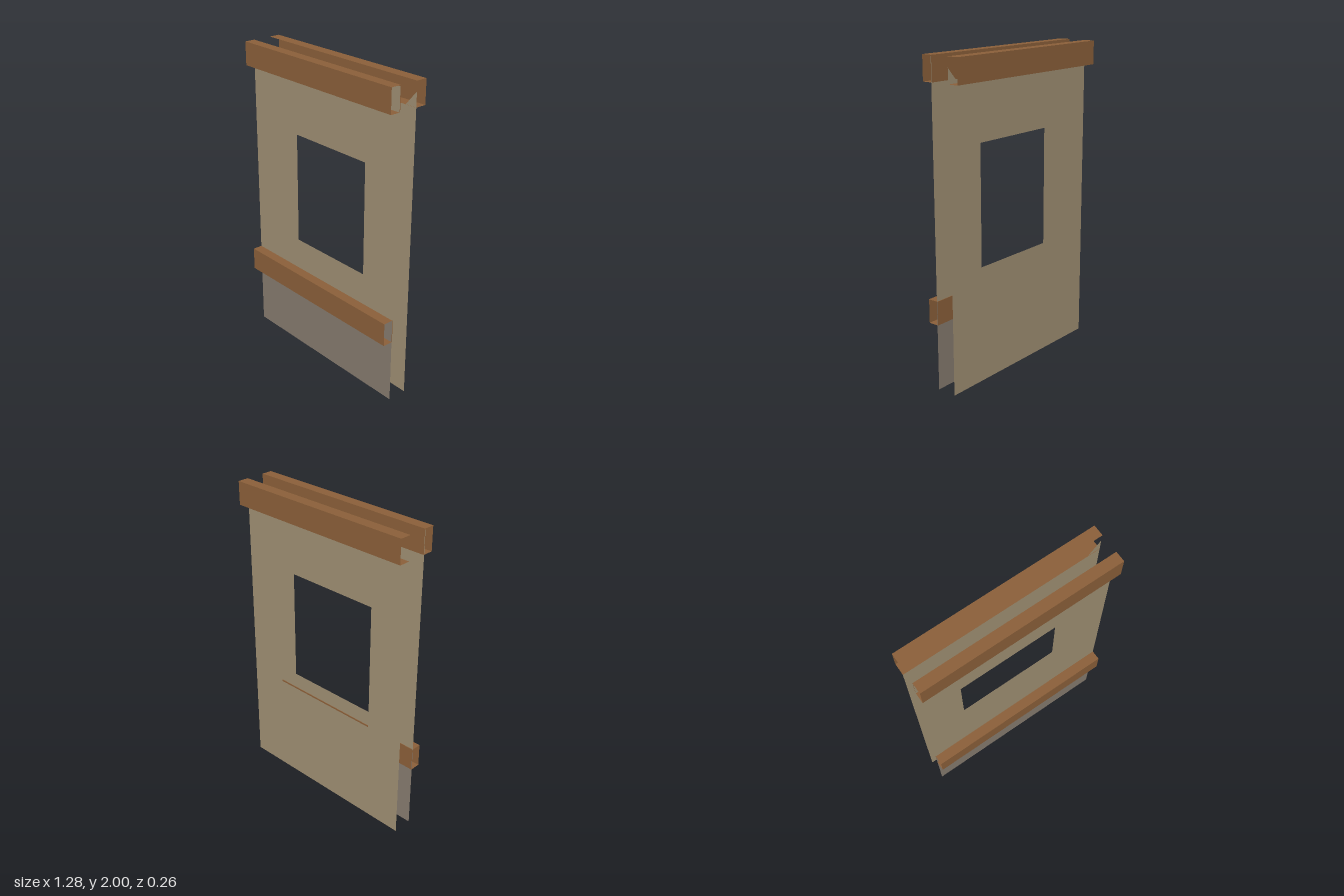
import * as THREE from 'three';

const mat = (name, color) => {
  const m = new THREE.MeshStandardMaterial({ color, side: THREE.DoubleSide });
  m.name = name;
  return m;
};

export function createModel() {
  const plaster = mat('plaster', 0x9e8e72);
  const wood = mat('wood', 0x8a5f39);
  const stone = mat('stone', 0x857a6e);
  const group = new THREE.Group();
  const W = 0.64;

  const add = (name, geo, material, z = 0) => {
    const mesh = new THREE.Mesh(geo, material);
    mesh.name = name;
    mesh.position.z = z;
    group.add(mesh);
  };

  // Thin wall sheet from an outline, with the window opening cut out
  const sheet = (points, hasWindow) => {
    const shape = new THREE.Shape(points.map(([x, y]) => new THREE.Vector2(x, y)));
    if (hasWindow) {
      const hole = [[-0.385, 0.67], [-0.385, 1.49], [0.383, 1.49], [0.383, 0.67]];
      shape.holes.push(new THREE.Path(hole.map(([x, y]) => new THREE.Vector2(x, y))));
    }
    return new THREE.ShapeGeometry(shape);
  };
  const rect = (y0, y1) => [[-W, y0], [W, y0], [W, y1], [-W, y1]];

  // Open-ended beam: a folded strip following a (z, y) profile along x
  const beam = (name, profile) => {
    const pos = [];
    for (let i = 0; i < profile.length - 1; i++) {
      const [z0, y0] = profile[i], [z1, y1] = profile[i + 1];
      pos.push(-W, y0, z0, W, y0, z0, W, y1, z1, -W, y0, z0, W, y1, z1, -W, y1, z1);
    }
    const geo = new THREE.BufferGeometry();
    geo.setAttribute('position', new THREE.Float32BufferAttribute(pos, 3));
    geo.computeVertexNormals();
    add(name, geo, wood);
  };

  // Front wall, stone base and back wall
  add('frontWall', sheet(rect(0.567, 1.993), true), plaster, 0.066);
  add('stoneBase', sheet(rect(0, 0.567), false), stone, 0.066);
  add('backWall', sheet([[-W, 0], [W, 0], [W, 1.94], [0.56, 1.85], [-W, 1.85]], true), plaster, -0.06);

  // Front beams with an inner face, back beam open to the inside
  for (const [name, y0, y1] of [['lowerBeam', 0.417, 0.567], ['upperBeam', 1.85, 2]]) {
    beam(name, [[0.062, y0], [0.13, y0], [0.13, y1], [0.062, y1], [0.062, y0]]);
  }
  beam('backBeam', [[-0.058, 2], [-0.13, 2], [-0.13, 1.85], [-0.058, 1.85]]);

  return group;
}
